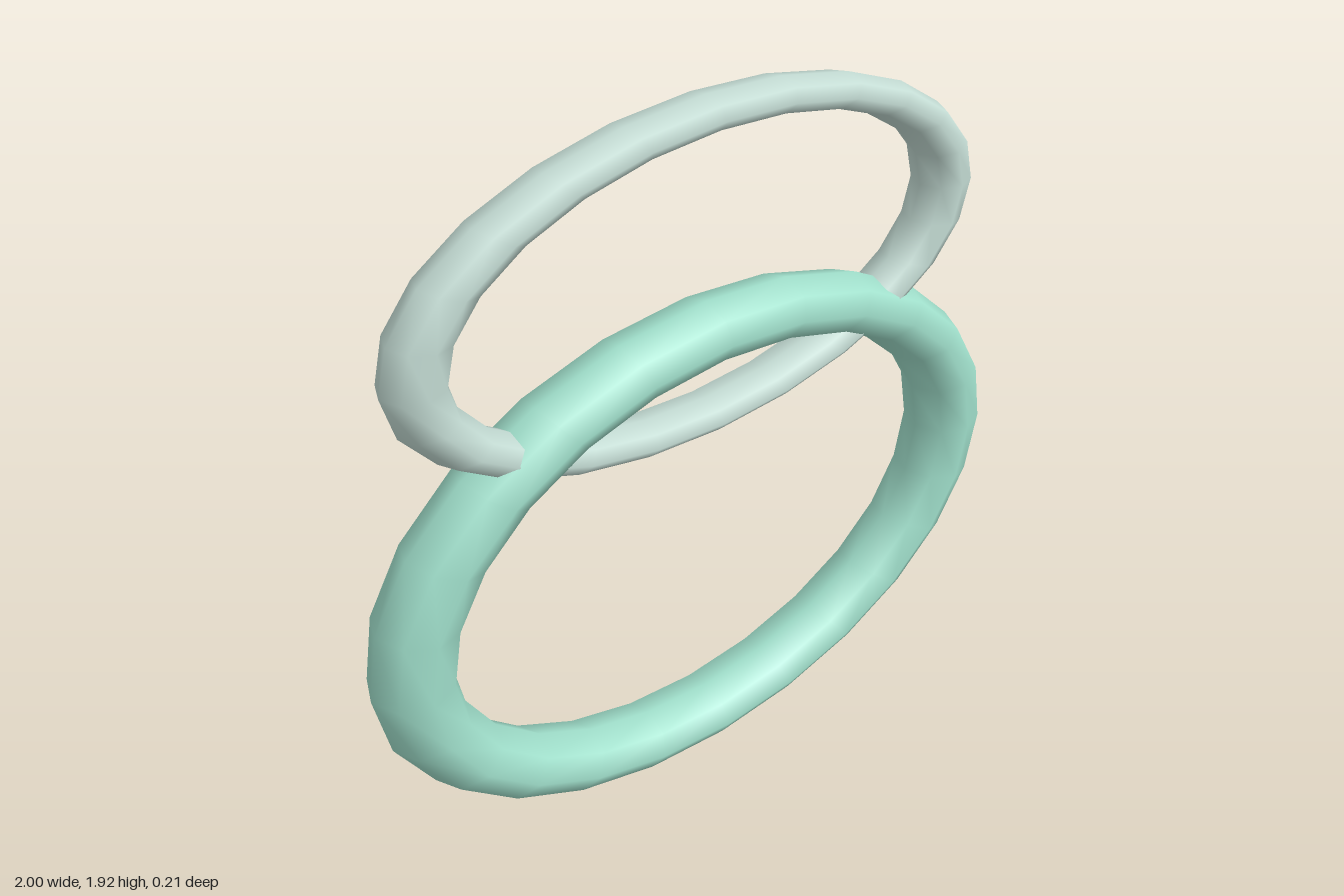
import * as THREE from 'three';

export function createModel() {
  const model = new THREE.Group();
  model.name = 'linkedRings';

  const mint = new THREE.MeshStandardMaterial({ name: 'mint green', color: 0xa0dfcb });
  const pale = new THREE.MeshStandardMaterial({ name: 'pale grey green', color: 0xc4dcd4 });

  // Upright oval ring: a low-sided torus squashed in height
  function addRing(name, material, radius, tube, squash, centreY) {
    const ring = new THREE.Mesh(new THREE.TorusGeometry(radius, tube, 8, 24), material);
    ring.name = name;
    ring.scale.y = squash;
    ring.position.y = centreY;
    model.add(ring);
  }

  // Large lower ring
  addRing('lowerRing', mint, 0.893, 0.107, 0.7, 0.7);
  // Slimmer upper ring, passing through the lower one
  addRing('upperRing', pale, 0.795, 0.078, 0.5, 1.485);

  return model;
}
